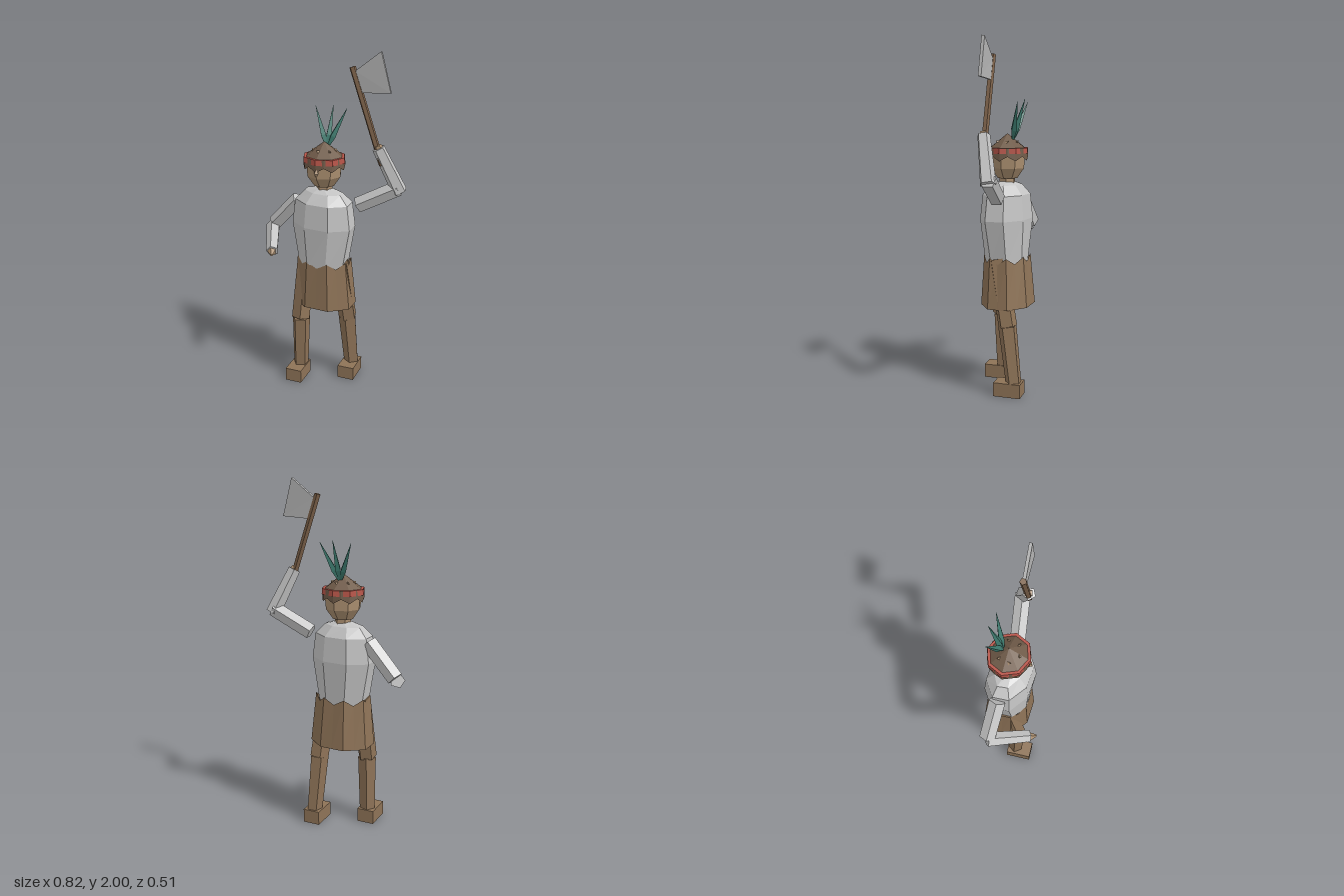
import * as THREE from 'three';

const V = (x, y, z) => new THREE.Vector3(x, y, z);
const mat = (name, color) => {
  const m = new THREE.MeshStandardMaterial({ color, flatShading: true, side: THREE.DoubleSide });
  m.name = name;
  return m;
};

export function createModel() {
  const group = new THREE.Group();
  const cloth = mat('pale grey cloth', 0xc4c4c4);
  const steel = mat('grey steel', 0xb4b4b4);
  const leather = mat('brown leather', 0x8e7357);
  const skin = mat('tan skin', 0xab8f70);
  const bark = mat('dark brown hat', 0x705b49);
  const wood = mat('handle wood', 0x7d624a);
  const red = mat('red band', 0xb85549);
  const teal = mat('teal leaf', 0x3d7a6e);

  const add = (name, geo, material) => {
    const m = new THREE.Mesh(geo, material);
    m.name = name;
    group.add(m);
    return m;
  };

  // Skin between rings of points, optionally closed at both ends
  function loft(rings, capped = true) {
    const n = rings[0].length, pos = [], idx = [];
    rings.forEach(r => r.forEach(p => pos.push(p.x, p.y, p.z)));
    for (let k = 0; k < rings.length - 1; k++)
      for (let i = 0; i < n; i++) {
        const a = k * n + i, b = k * n + (i + 1) % n;
        idx.push(a, a + n, b, b, a + n, b + n);
      }
    if (capped) {
      const t = (rings.length - 1) * n;
      for (let i = 1; i < n - 1; i++) idx.push(0, i, i + 1, t, t + i + 1, t + i);
    }
    const g = new THREE.BufferGeometry();
    g.setAttribute('position', new THREE.Float32BufferAttribute(pos, 3));
    g.setIndex(idx);
    const flat = g.toNonIndexed();
    flat.computeVertexNormals();
    return flat;
  }

  // Horizontal ring around (cx, cz); skew leans its long axis
  const ring = (n, y, rx, rz, o = {}) => Array.from({ length: n }, (_, i) => {
    const a = (i / n) * Math.PI * 2 + (o.turn || 0);
    const s = o.skew || 0;
    return V((o.x ?? -0.03) + rx * (Math.cos(a) - s * Math.sin(a)),
      y + (o.wave ? o.wave(i) : 0), (o.z ?? -0.045) + rz * Math.sin(a));
  });

  // Tapered straight limb from a to b
  function limb(name, a, b, ra, rb, material, sides = 5, twist = 0) {
    const d = b.clone().sub(a);
    const g = new THREE.CylinderGeometry(rb, ra, d.length(), sides);
    g.rotateY(twist);
    const m = add(name, g, material);
    m.position.copy(a).add(b).multiplyScalar(0.5);
    m.quaternion.setFromUnitVectors(V(0, 1, 0), d.normalize());
    return m;
  }

  // Torso and neck
  const lean = { skew: 0.13, z: -0.04 };
  add('torso', loft([
    ring(8, 0.75, 0.145, 0.122, lean), ring(8, 1.0, 0.197, 0.138, lean),
    ring(8, 1.14, 0.177, 0.125, lean), ring(8, 1.195, 0.125, 0.075, lean),
    ring(8, 1.215, 0.045, 0.04, lean)
  ]), cloth);
  limb('neck', V(-0.028, 1.17, -0.045), V(-0.028, 1.26, -0.045), 0.047, 0.047, skin, 6);

  // Skirt with a notched waist
  add('skirt', loft([
    ring(16, 0.5, 0.19, 0.152, { skew: 0.13, z: -0.052 }),
    ring(16, 0.76, 0.163, 0.13, { skew: 0.13, z: -0.046, wave: i => (i % 2 ? -0.005 : 0.03) })
  ].map(r => r.map((p, i) => i % 2 // keep eight flat sides
    ? V((r[i - 1].x + r[(i + 1) % 16].x) / 2, p.y, (r[i - 1].z + r[(i + 1) % 16].z) / 2) : p)), false), leather);

  // Legs and feet
  const legs = [
    ['right', V(-0.13, 0.78, 0.0), V(-0.12, 0.4, 0.065), V(-0.13, 0.06, 0.06), V(-0.125, 0.04, 0.09)],
    ['left', V(0.08, 0.78, -0.06), V(0.082, 0.4, -0.135), V(0.08, 0.06, -0.18), V(0.088, 0.04, -0.15)]
  ];
  for (const [side, hip, knee, ankle, sole] of legs) {
    limb(side + 'Thigh', hip, knee, 0.054, 0.056, leather, 5, 0.3);
    limb(side + 'Shin', knee, ankle, 0.055, 0.046, leather, 5, 0.3);
    const foot = add(side + 'Foot', new THREE.BoxGeometry(0.1, 0.08, 0.156), leather);
    foot.position.copy(sole);
    foot.rotation.y = 0.37;
  }

  // Arms and hands
  limb('rightUpperArm', V(-0.2, 1.115, -0.01), V(-0.365, 0.935, 0.03), 0.048, 0.047, cloth, 5, 0.4);
  limb('rightForearm', V(-0.375, 0.925, 0.035), V(-0.205, 0.85, 0.21), 0.043, 0.036, cloth, 5, 0.4);
  limb('rightHand', V(-0.22, 0.852, 0.198), V(-0.178, 0.842, 0.242), 0.036, 0.006, skin, 5, 0.4);
  limb('leftUpperArm', V(0.16, 1.135, -0.12), V(0.365, 1.255, -0.225), 0.046, 0.046, cloth, 5, 0.2);
  limb('leftForearm', V(0.368, 1.235, -0.228), V(0.287, 1.485, -0.132), 0.045, 0.036, cloth, 5, 0.2);
  limb('leftHand', V(0.297, 1.46, -0.145), V(0.284, 1.5, -0.128), 0.03, 0.018, skin);

  // Cleaver
  limb('cleaverHandle', V(0.305, 1.39, -0.145), V(0.142, 1.91, -0.077), 0.018, 0.018, wood);
  const blade = [V(0.16, 1.89, -0.084), V(0.195, 1.775, -0.1), V(0.345, 1.785, -0.155), V(0.291, 1.997, -0.135)];
  const off = V(0.003, 0.001, 0.008);
  add('cleaverBlade', loft([
    blade.map(p => p.clone().add(off)), blade.map(p => p.clone().sub(off))
  ]), steel);

  // Head and nose
  const turn = Math.PI / 8 + 0.1;
  add('head', loft([
    ring(8, 1.233, 0.06, 0.06, { turn }), ring(8, 1.29, 0.1, 0.1, { turn }),
    ring(8, 1.39, 0.108, 0.108, { turn })
  ]), skin);
  const nose = add('nose', new THREE.OctahedronGeometry(0.025), skin);
  nose.position.set(0.008, 1.328, 0.062);
  nose.scale.set(0.7, 1, 0.7);

  // Hat: ragged brim, band and pointed crown
  const wave = i => (i % 2 ? 0.025 : 0);
  add('hatBrim', loft([
    ring(16, 1.333, 0.122, 0.115, { turn, wave }), ring(16, 1.405, 0.118, 0.113, { turn })
  ], false), bark);
  add('hatBand', loft([
    ring(8, 1.373, 0.129, 0.121, { turn }), ring(8, 1.405, 0.127, 0.119, { turn })
  ]), red);
  add('hatCrown', loft([
    ring(8, 1.4, 0.117, 0.11, { turn }), ring(8, 1.483, 0.003, 0.003, { turn })
  ]), bark);
  for (let i = 0; i < 6; i++) {
    const a = i * Math.PI / 3 + 0.4;
    const chip = add('hatChip', new THREE.TetrahedronGeometry(0.013), skin);
    chip.position.set(-0.03 + 0.065 * Math.cos(a), 1.437, -0.045 + 0.06 * Math.sin(a));
    chip.rotation.y = a;
  }

  // Leaf spikes at the back of the hat
  const root = V(-0.037, 1.44, -0.075);
  for (const tip of [V(-0.148, 1.662, -0.1), V(-0.055, 1.675, -0.148), V(0.033, 1.662, -0.163)]) {
    const mid = root.clone().lerp(tip, 0.3);
    limb('leafBase', root, mid, 0.006, 0.02, teal, 4);
    limb('leafTip', mid, tip, 0.02, 0.001, teal, 4);
  }
  return group;
}
